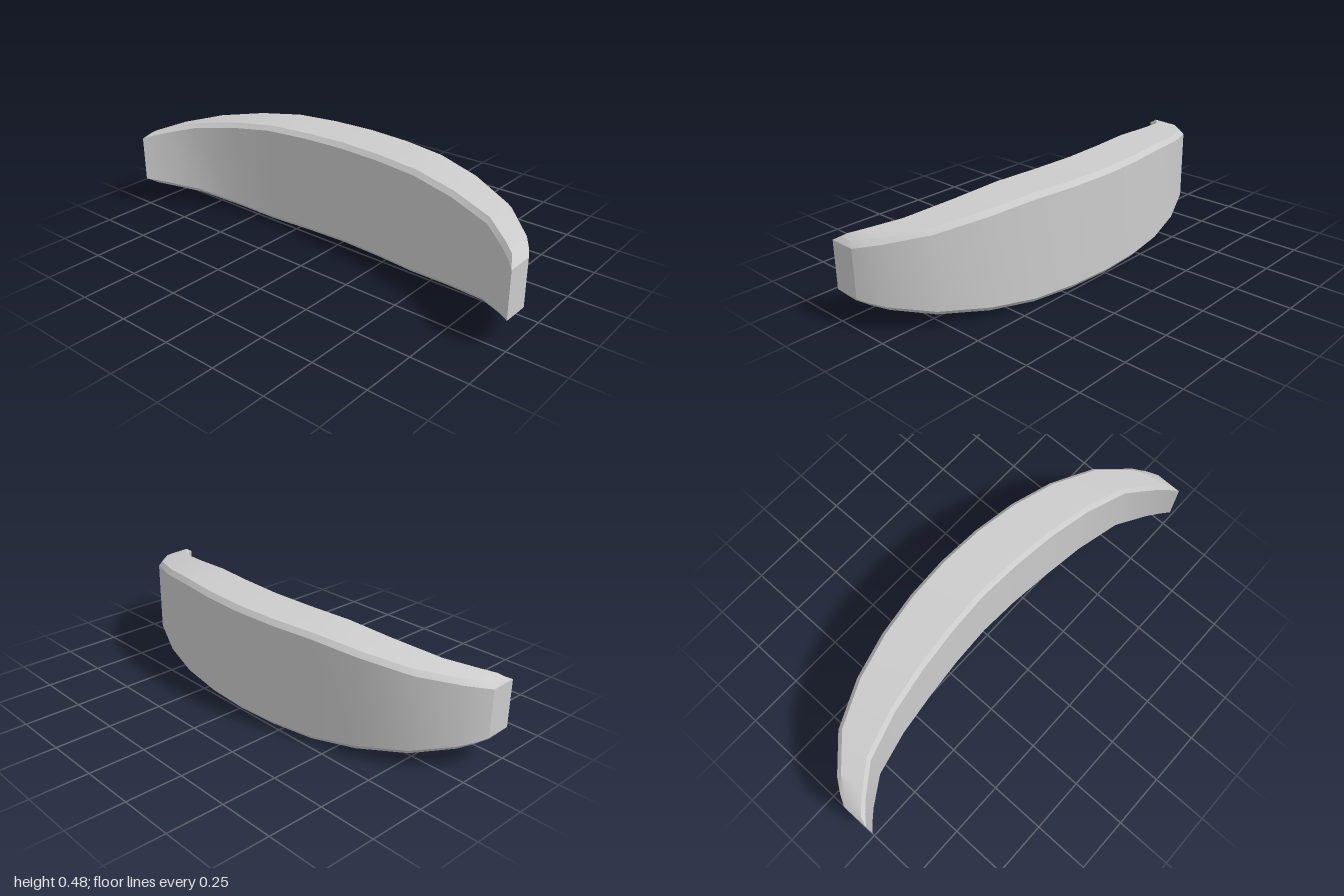
import * as THREE from 'three';
import { toCreasedNormals } from 'three/addons/utils/BufferGeometryUtils.js';

const MID_Y = 0.24;
const CHAMFER_Y = 0.021;

// Stations from the centre to one tip:
// back x, back z, front x, front z, half height, chamfer inset dx back, dz back, dx front, dz front
const STATIONS = [
  [0, -0.26, 0, -0.022, 0.24, 0, 0.018, 0, -0.018],
  [0.2, -0.25, 0.2, -0.012, 0.239, 0.001, 0.018, 0, -0.018],
  [0.4, -0.22, 0.4, 0.01, 0.235, 0.004, 0.018, 0, -0.018],
  [0.6, -0.17, 0.6, 0.043, 0.212, 0.006, 0.017, 0, -0.018],
  [0.8, -0.083, 0.8, 0.1, 0.18, 0.011, 0.015, 0, -0.018],
  [0.935, 0.04, 0.92, 0.185, 0.15, 0.015, 0.012, 0, -0.018],
  [0.975, 0.095, 0.965, 0.225, 0.137, 0.018, 0.015, 0, -0.02],
  [1, 0.14, 0.998, 0.26, 0.125, 0.016, 0.025, 0.016, -0.04],
];

// Chamfered eight-point cross-section; side is -1 or 1
function ring([xb, zb, xf, zf, h, dxb, dzb, dxf, dzf], side) {
  const wall = h - CHAMFER_Y;
  const p = (x, y, z) => [side * x, MID_Y + y, z];
  return [
    p(xb, -wall, zb), p(xb, wall, zb),
    p(xb - dxb, h, zb + dzb), p(xf - dxf, h, zf + dzf),
    p(xf, wall, zf), p(xf, -wall, zf),
    p(xf - dxf, -h, zf + dzf), p(xb - dxb, -h, zb + dzb),
  ];
}

function crescentGeometry() {
  const rings = [
    ...STATIONS.slice(1).reverse().map((s) => ring(s, -1)),
    ...STATIONS.map((s) => ring(s, 1)),
  ];
  const positions = [];
  const quad = (a, b, c, d) => positions.push(...a, ...b, ...c, ...a, ...c, ...d);

  // Skin between neighbouring sections
  for (let j = 0; j < rings.length - 1; j++) {
    for (let k = 0; k < 8; k++) {
      const n = (k + 1) % 8;
      quad(rings[j][k], rings[j][n], rings[j + 1][n], rings[j + 1][k]);
    }
  }

  // Tips: an upright end face with a chamfer above and below
  const first = rings[0];
  const last = rings[rings.length - 1];
  for (const [a, b, c, d] of [[0, 1, 4, 5], [1, 2, 3, 4], [5, 6, 7, 0]]) {
    quad(last[a], last[b], last[c], last[d]);
    quad(first[d], first[c], first[b], first[a]);
  }

  const geometry = new THREE.BufferGeometry();
  geometry.setAttribute('position', new THREE.Float32BufferAttribute(positions, 3));
  return toCreasedNormals(geometry, THREE.MathUtils.degToRad(28));
}

export function createModel() {
  const model = new THREE.Group();
  model.name = 'curvedPad';
  const material = new THREE.MeshStandardMaterial({ color: 0xcccccc });
  const body = new THREE.Mesh(crescentGeometry(), material);
  body.name = 'crescentBody';
  model.add(body);
  return model;
}
